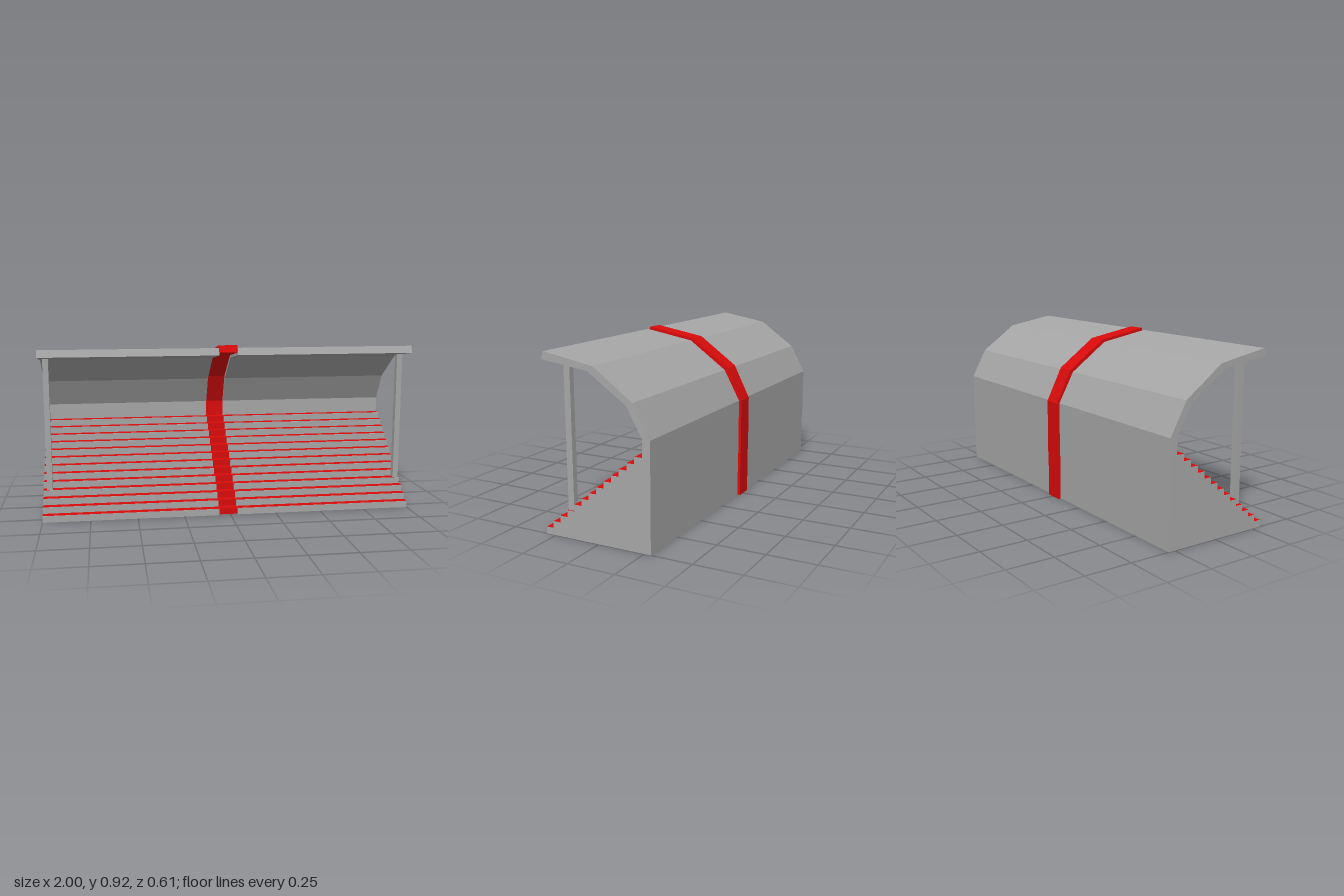
import * as THREE from 'three';

const STEPS = 13, RISE = 0.0352, GOING = 0.0425, FRONT = 0.305;
const BAND = [-0.06, 0.04];

export function createModel() {
  const model = new THREE.Group();
  model.name = 'grandstand';
  const grey = new THREE.MeshStandardMaterial({ name: 'concrete grey', color: 0xa6a6a6 });
  const red = new THREE.MeshStandardMaterial({ name: 'red paint', color: 0xd90b0b });

  function add(name, geometry, material, x = 0, y = 0, z = 0) {
    const mesh = new THREE.Mesh(geometry, material);
    mesh.name = name;
    mesh.position.set(x, y, z);
    model.add(mesh);
  }

  // Side outline: seating steps, curved canopy underside, canopy top and back wall.
  // The roof can be lifted and the whole outline set back.
  function section(x0, x1, back, lift) {
    const pts = [];
    for (let i = 0; i < STEPS; i++) {
      pts.push([FRONT - i * GOING, i * RISE], [FRONT - i * GOING, (i + 1) * RISE]);
    }
    pts.push([-0.2475, STEPS * RISE], [-0.2475, 0.545]);
    const roof = [[-0.165, 0.69], [0.04, 0.83], [0.298, 0.866],
      [0.284, 0.904], [0.009, 0.855], [-0.2, 0.705]];
    for (const [z, y] of roof) pts.push([z, y + lift]);
    pts.push([-0.288, 0.542], [-0.288, 0.245], [-0.286, 0.245], [-0.286, 0]);
    const shape = new THREE.Shape(pts.map(([z, y]) => new THREE.Vector2(back - z, y)));
    const geo = new THREE.ExtrudeGeometry(shape, { depth: x1 - x0, bevelEnabled: false });
    return geo.rotateY(Math.PI / 2).translate(x0, 0, 0);
  }

  // Grey stand on each side of the central red band
  for (const [name, x0, x1] of [['right', -1, BAND[0]], ['left', BAND[1], 1]]) {
    add(name + 'Stand', section(x0, x1, 0, 0), grey);
    // Red painted treads
    for (let i = 0; i < STEPS; i++) {
      const tread = new THREE.PlaneGeometry(x1 - x0, GOING).rotateX(-Math.PI / 2);
      add(name + 'Tread', tread, red,
        (x0 + x1) / 2, (i + 1) * RISE + 0.001, FRONT - (i + 0.5) * GOING);
    }
  }

  // Red band: aisle, wall and canopy stripe, set slightly back and raised
  add('centreBand', section(BAND[0], BAND[1], 0.015, 0.013), red);

  // Canopy posts
  const post = new THREE.BoxGeometry(0.03, 0.712, 0.033);
  add('rightPost', post, grey, -0.965, 0.496, 0.156);
  add('leftPost', post, grey, 0.979, 0.496, 0.156);

  return model;
}
